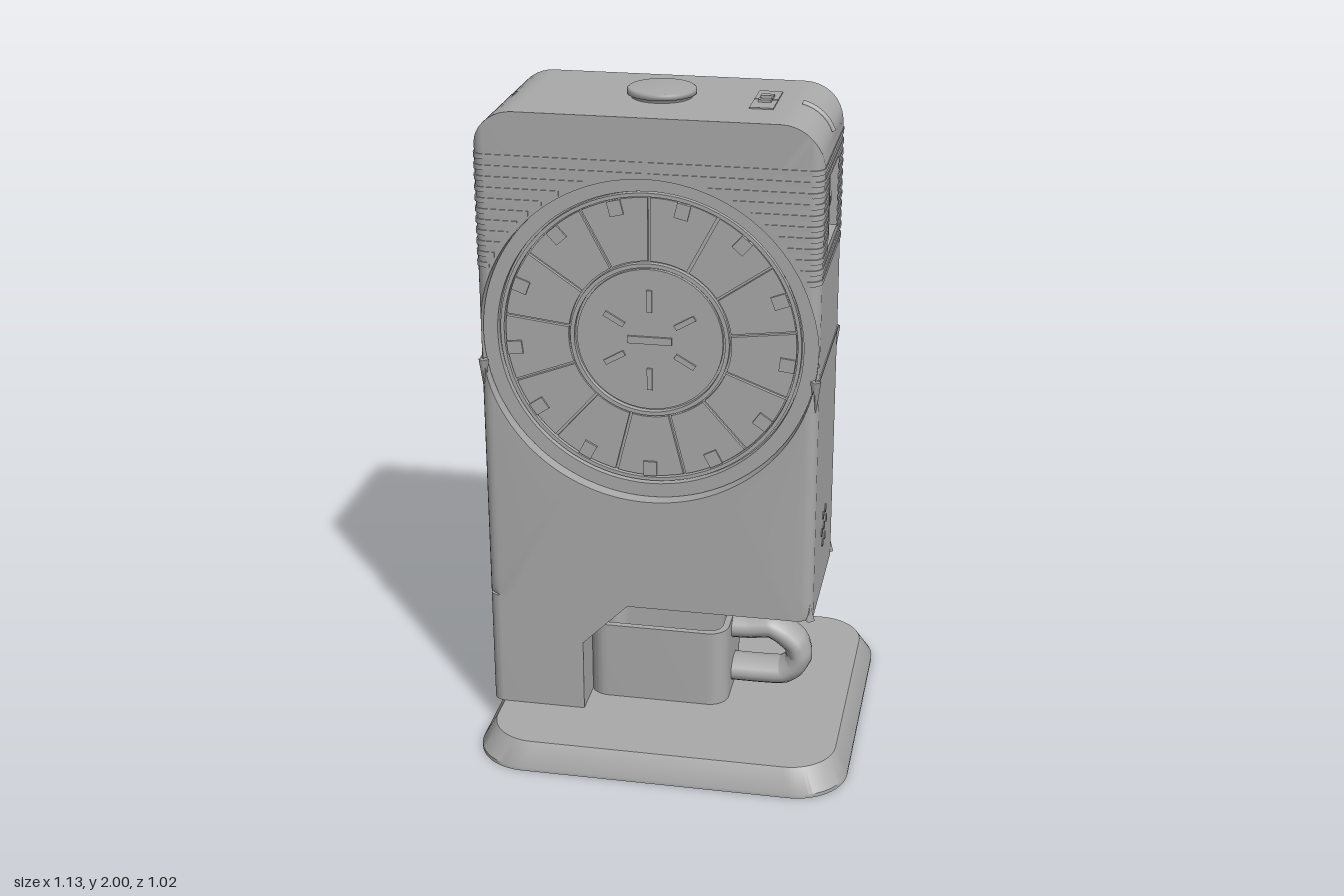
import * as THREE from 'three';
import { toCreasedNormals } from 'three/addons/utils/BufferGeometryUtils.js';

const W = 0.4975, D = 0.25, CY = 1.3, R = 0.495, F = 0.035, CORNER = 0.12;
const shell = new THREE.MeshStandardMaterial({ color: 0xaaaaaa, side: THREE.DoubleSide });
shell.name = 'shellGrey';

function add(parent, name, geo, x = 0, y = 0, z = 0) {
  const m = new THREE.Mesh(geo, shell);
  m.name = name;
  m.position.set(x, y, z);
  parent.add(m);
  return m;
}
const box = (w, h, d) => new THREE.BoxGeometry(w, h, d);

// box without one face (0 = +x, 2 = +y, 3 = -y)
function openBox(w, h, d, face) {
  const g = box(w, h, d);
  const idx = Array.from(g.index.array);
  idx.splice(face * 6, 6);
  g.clearGroups();
  g.setIndex(idx);
  return g;
}

// rounded rectangle with half sizes a, b
function roundRect(a, b, r) {
  const s = new THREE.Shape();
  s.absarc(a - r, b - r, r, 0, Math.PI / 2);
  s.absarc(r - a, b - r, r, Math.PI / 2, Math.PI);
  s.absarc(r - a, r - b, r, Math.PI, Math.PI * 1.5);
  s.absarc(a - r, r - b, r, Math.PI * 1.5, Math.PI * 2);
  s.closePath();
  return s;
}
function rectHole(x, y, a, b) {
  const p = new THREE.Path();
  p.moveTo(x - a, y - b).lineTo(x - a, y + b).lineTo(x + a, y + b).lineTo(x + a, y - b).closePath();
  return p;
}
function extrude(shape, depth, curveSegments = 12) {
  return new THREE.ExtrudeGeometry(shape, { depth, bevelEnabled: false, curveSegments });
}
const polygon = pts => new THREE.Shape(pts.map(p => new THREE.Vector2(...p)));

// joins rows of points into a closed band
function loft(columns, skip = () => false) {
  const pos = columns.flat(2), n = columns[0].length, idx = [];
  columns.forEach((_, i) => {
    const j = (i + 1) % columns.length;
    for (let k = 0; k < n - 1; k++) {
      if (skip(i, j, k)) continue;
      const a = i * n + k, b = j * n + k;
      idx.push(a, a + 1, b, b, a + 1, b + 1);
    }
  });
  const g = new THREE.BufferGeometry();
  g.setAttribute('position', new THREE.Float32BufferAttribute(pos, 3));
  g.setIndex(idx);
  return toCreasedNormals(g, 0.6);
}

// half depth of the case, rounded off at both sides
function halfDepth(x) {
  const e = Math.min(F, Math.max(0, W - Math.abs(x)));
  return D - F + Math.sqrt(F * F - (F - e) ** 2);
}

// case with a round recess front and back
function caseGeometry() {
  const pts = [];
  const line = (x0, y0, x1, y1, n) => {
    for (let i = 0; i < n; i++) pts.push([x0 + (x1 - x0) * i / n, y0 + (y1 - y0) * i / n]);
  };
  const arc = (cx, a0) => {
    for (let i = 0; i < 10; i++) {
      const a = a0 + Math.PI / 2 * i / 10;
      pts.push([cx + CORNER * Math.cos(a), 1.85 + CORNER * Math.sin(a)]);
    }
  };
  line(W, 0.45, W, 1.85, 56);
  arc(W - CORNER, 0);
  line(W - CORNER, 1.97, CORNER - W, 1.97, 28);
  arc(CORNER - W, Math.PI / 2);
  line(-W, 1.85, -W, 0.45, 56);
  line(-W, 0.45, W, 0.45, 28);
  const columns = pts.map(([x, y]) => {
    const len = Math.hypot(x, y - CY), c = x / len, s = (y - CY) / len;
    const rIn = Math.max(R, Math.min(len, (W - F) / Math.max(Math.abs(c), 1e-6)));
    const at = r => [r * c, CY + r * s, halfDepth(r * c)];
    const col = [[R * c, CY + R * s, 0.185], at(R)];
    for (let k = 0; k <= 5; k++) col.push(at(rIn + (len - rIn) * (1 - (1 - k / 5) ** 2)));
    return [...col, ...col.map(p => [p[0], p[1], -p[2]]).reverse()];
  });
  // the +x wall is left out, since it has a window
  return loft(columns, (i, j, k) => k === 7 && pts[i][0] > W - 1e-4 && pts[j][0] > W - 1e-4);
}

function sector(r0, r1, a0, a1, gap) {
  const s = new THREE.Shape();
  s.absarc(0, 0, r1, a0 + gap / r1, a1 - gap / r1, false);
  s.absarc(0, 0, r0, a1 - gap / r0, a0 + gap / r0, true);
  s.closePath();
  return s;
}
function ring(r0, r1, depth) {
  const s = new THREE.Shape().absarc(0, 0, r1, 0, Math.PI * 2);
  s.holes.push(new THREE.Path().absarc(0, 0, r0, 0, Math.PI * 2, true));
  return extrude(s, depth, 48);
}

function dial() {
  const g = new THREE.Group();
  add(g, 'dialFloor', new THREE.CircleGeometry(R, 72), 0, 0, 0.188);
  add(g, 'dialRim', ring(0.45, R - 0.002, 0.024), 0, 0, 0.188);
  add(g, 'dialInnerRim', ring(0.432, 0.443, 0.018), 0, 0, 0.188);
  add(g, 'hubRim', ring(0.222, 0.234, 0.018), 0, 0, 0.188);
  add(g, 'hub', new THREE.CylinderGeometry(0.215, 0.215, 0.014, 48).rotateX(Math.PI / 2), 0, 0, 0.193);
  add(g, 'hubBar', box(0.13, 0.022, 0.008), 0, 0, 0.203);
  const step = Math.PI * 2 / 13;
  for (let i = 0; i < 13; i++) {
    const a = Math.PI / 2 + i * step, mid = a + step / 2;
    add(g, 'dialSegment', extrude(sector(0.24, 0.428, a, a + step, 0.004), 0.012, 8), 0, 0, 0.188);
    add(g, 'segmentTab', box(0.045, 0.04, 0.008), 0.405 * Math.cos(mid), 0.405 * Math.sin(mid), 0.203)
      .rotation.z = mid;
  }
  for (let i = 0; i < 6; i++) {
    const a = Math.PI / 2 + i * Math.PI / 3;
    add(g, 'hubMark', box(0.066, 0.016, 0.008), 0.12 * Math.cos(a), 0.12 * Math.sin(a), 0.203).rotation.z = a;
  }
  return g;
}

export function createModel() {
  const model = new THREE.Group();

  // base plate with sloping rim and hollow underside
  const base = new THREE.Group();
  base.name = 'base';
  model.add(base);
  const layers = [[0, 0], [0, 0.012], [0.04, 0.08]].map(([i, y]) =>
    roundRect(0.565 - i, 0.51 - i, 0.16 - i * 0.5).getPoints(10).map(p => [p.x, y, p.y]));
  add(base, 'baseRim', loft(layers[0].map((_, i) => layers.map(l => l[i]))));
  add(base, 'baseTop', new THREE.ShapeGeometry(roundRect(0.525, 0.47, 0.14), 10).rotateX(-Math.PI / 2), 0, 0.08);
  const under = roundRect(0.565, 0.51, 0.16);
  under.holes.push(rectHole(0, 0, 0.485, 0.43));
  add(base, 'baseUnderside', new THREE.ShapeGeometry(under, 10).rotateX(Math.PI / 2));
  add(base, 'baseHollow', openBox(0.97, 0.05, 0.86, 3), 0, 0.025);

  // everything above is centred on the case
  const body = new THREE.Group();
  body.name = 'body';
  body.position.x = -0.065;
  model.add(body);
  add(body, 'case', caseGeometry());

  // side wall with window and its recess
  const wall = polygon([[-D + F, 0.45], [D - F, 0.45], [D - F, 1.85], [-D + F, 1.85]]);
  wall.holes.push(rectHole(0, 1.682, 0.115, 0.103));
  add(body, 'sideWall', new THREE.ShapeGeometry(wall).rotateY(Math.PI / 2), W);
  add(body, 'windowRecess', openBox(0.2, 0.206, 0.23, 0), W - 0.1, 1.682);
  add(body, 'windowLedge', box(0.1, 0.075, 0.226), W - 0.11, 1.62);
  for (const z of [-0.04, 0.04]) {
    add(body, 'windowRoller', new THREE.CylinderGeometry(0.09, 0.09, 0.03, 24).rotateX(Math.PI / 2), W - 0.1, 1.682, z);
  }
  add(body, 'windowDivider', box(0.1, 0.2, 0.012), W - 0.06, 1.682);

  // cooling ribs around the upper case
  for (let i = 0; i < 11; i++) {
    const y = 1.525 + i * 0.032;
    const x0 = Math.sqrt(Math.max(0, R * R - (y - 0.016 - CY) ** 2)) + 0.008;
    for (const sx of [-1, 1]) for (const sz of [-1, 1]) {
      const z0 = sx > 0 && y > 1.57 && y < 1.8 ? 0.116 : 0;
      const s = new THREE.Shape().moveTo(x0, z0).lineTo(0.5, z0).lineTo(0.5, 0.218);
      s.absarc(0.465, 0.218, F, 0, Math.PI / 2).lineTo(x0, 0.253).closePath();
      add(body, 'rib', extrude(s, 0.015, 5).rotateX(Math.PI / 2), 0, y).scale.set(sx, 1, sz);
    }
  }

  // dials on both faces
  for (const turn of [0, Math.PI]) {
    const d = dial();
    d.name = turn ? 'backDial' : 'frontDial';
    d.position.y = CY;
    d.rotation.y = turn;
    body.add(d);
  }

  // seam and corner tips on the sides
  for (const sx of [-1, 1]) {
    add(body, 'sideSeam', box(0.006, 0.008, 0.46), sx * W, 1.22);
    for (const sz of [-1, 1]) {
      add(body, 'cornerTip', new THREE.CylinderGeometry(0.016, 0, 0.11, 4), sx * 0.489, 1.165, sz * 0.235);
      if (sx > 0) add(body, 'lowerTip', new THREE.CylinderGeometry(0, 0.016, 0.06, 4), 0.489, 0.48, sz * 0.235);
    }
  }

  // vent holes and side port
  for (const [z, y] of [[0, 0], [0.055, 0], [-0.055, 0], [0.027, 0.046], [-0.027, 0.046], [0.027, -0.046], [-0.027, -0.046]]) {
    add(body, 'vent', new THREE.CylinderGeometry(0.013, 0.013, 0.006, 12).rotateZ(Math.PI / 2), W, 0.655 + y, z);
  }
  add(body, 'port', box(0.006, 0.035, 0.075), -W, 0.655);

  // top knob, switches and corner slot
  add(body, 'knob', new THREE.LatheGeometry([[0.088, 1.965], [0.088, 1.978], [0.1, 1.98], [0.1, 1.993], [0.094, 1.998], [0, 2]]
    .map(p => new THREE.Vector2(...p)), 48));
  for (const z of [-0.05, 0.05]) {
    add(body, 'switchFrame', box(0.068, 0.006, 0.094), 0.3, 1.971, z);
    add(body, 'switchRocker', box(0.038, 0.014, 0.022), 0.3, 1.974, z * 0.5);
  }
  add(body, 'cornerSlot', new THREE.TorusGeometry(CORNER, 0.01, 6, 16, 1).rotateZ(0.35), W - CORNER, 1.85);
  add(body, 'topMark', box(0.008, 0.006, 0.036), -0.432, 1.956).rotation.z = 0.45;

  // foot: rounded block with chamfered cheeks
  const foot = new THREE.Shape().moveTo(-0.205, -D).lineTo(-0.205, D).lineTo(-W + F, D);
  foot.absarc(-W + F, D - F, F, Math.PI / 2, Math.PI).absarc(-W + F, F - D, F, Math.PI, Math.PI * 1.5).closePath();
  add(body, 'foot', toCreasedNormals(extrude(foot, 0.37, 8).rotateX(Math.PI / 2), 0.5), 0, 0.45);
  const cheek = polygon([[-0.25, 0.31], [-0.205, 0.31], [-0.065, 0.45], [-0.25, 0.45]]);
  for (const z of [-D, D - 0.016]) add(body, 'cheek', extrude(cheek, 0.016), 0, 0, z);
  add(body, 'spout', extrude(polygon([[-0.21, 0.39], [-0.205, 0.39], [-0.1, 0.45], [-0.21, 0.45]]), 0.32), 0, 0, -0.16);

  // cup with angular handle
  const cup = new THREE.Group();
  cup.name = 'cup';
  cup.position.x = -0.0575;
  model.add(cup);
  const cupWall = roundRect(0.2175, 0.16, 0.06);
  cupWall.holes.push(roundRect(0.198, 0.14, 0.045));
  add(cup, 'cupWall', toCreasedNormals(extrude(cupWall, 0.25, 8).rotateX(-Math.PI / 2), 0.5), 0, 0.08);
  add(cup, 'cupFloor', extrude(roundRect(0.21, 0.15, 0.05), 0.02).rotateX(-Math.PI / 2), 0, 0.08);
  const path = new THREE.CatmullRomCurve3([[0.21, 0.29], [0.27, 0.292], [0.335, 0.3], [0.375, 0.28], [0.415, 0.245], [0.427, 0.2],
    [0.41, 0.165], [0.375, 0.14], [0.3, 0.137], [0.21, 0.137]].map(([x, y]) => new THREE.Vector3(x, y, 0)), false, 'catmullrom', 0.2);
  add(cup, 'cupHandle', new THREE.TubeGeometry(path, 40, 0.041, 12)).scale.z = 1.5;

  return model;
}
